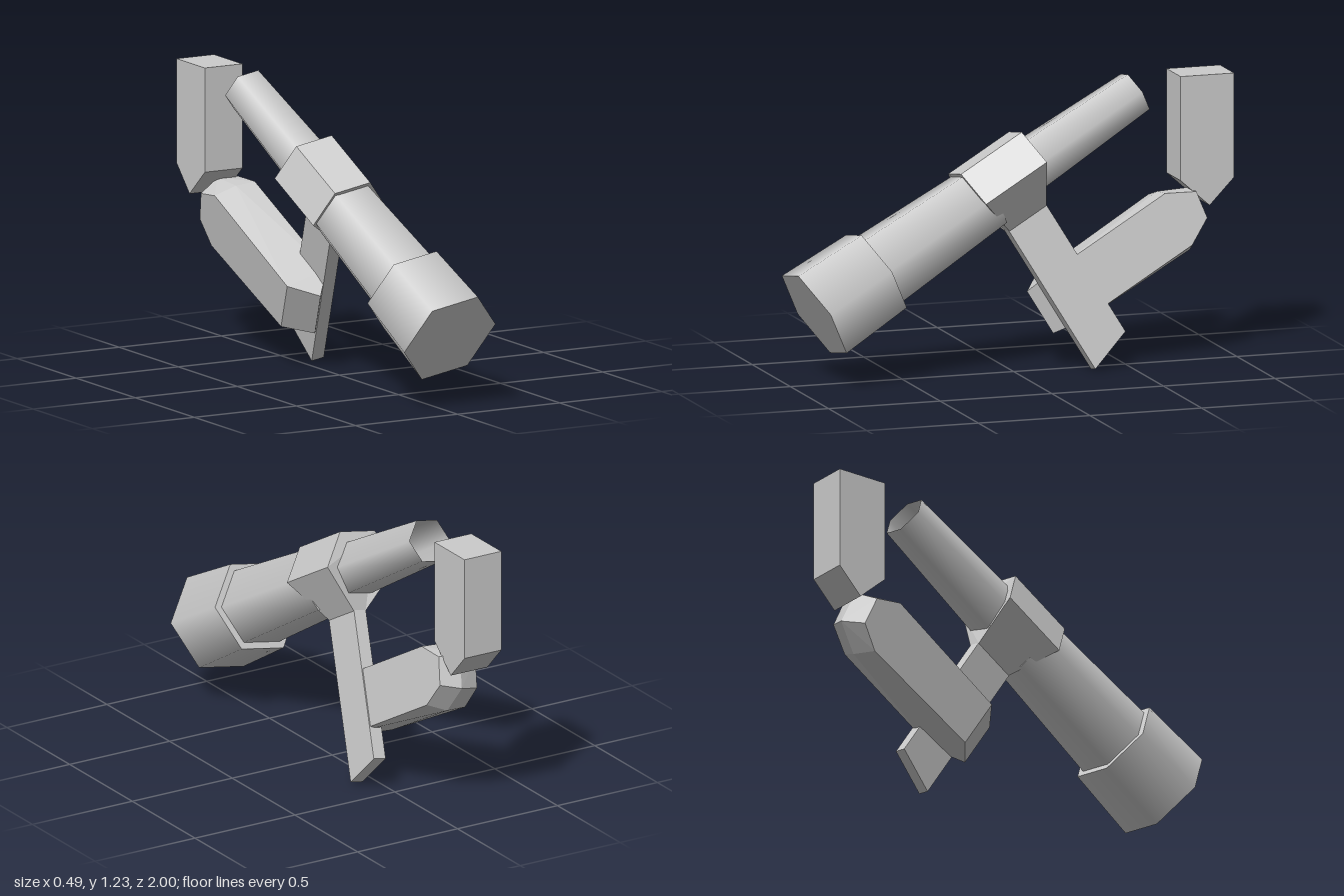
import * as THREE from 'three';
import { ConvexGeometry } from 'three/addons/geometries/ConvexGeometry.js';

const material = new THREE.MeshStandardMaterial({ color: 0xcccccc });
const openMaterial = new THREE.MeshStandardMaterial({ color: 0xcccccc, side: THREE.DoubleSide });

function addMesh(parent, name, geometry, mat = material) {
  const mesh = new THREE.Mesh(geometry, mat);
  mesh.name = name;
  parent.add(mesh);
  return mesh;
}

// Six-sided tube section along z, from zFront to zBack, with corners on the x axis
function hexTube(rFront, rBack, zFront, zBack, open = false) {
  const g = new THREE.CylinderGeometry(rFront, rBack, zFront - zBack, 6, 1, open, Math.PI / 2);
  return g.rotateX(Math.PI / 2).translate(0, 0, (zFront + zBack) / 2);
}

// Extrude a list of [x, y] corners, centred on z
function prism(points, depth) {
  const shape = new THREE.Shape(points.map(([x, y]) => new THREE.Vector2(x, y)));
  return new THREE.ExtrudeGeometry(shape, { depth, bevelEnabled: false }).translate(0, 0, -depth / 2);
}

function moveVertices(geometry, rule) {
  const p = geometry.attributes.position;
  const v = new THREE.Vector3();
  for (let i = 0; i < p.count; i++) {
    rule(v.fromBufferAttribute(p, i));
    p.setXYZ(i, v.x, v.y, v.z);
  }
  geometry.computeVertexNormals();
  return geometry;
}

export function createModel() {
  const model = new THREE.Group();
  model.name = 'spyglassAndArm';

  // Tilted frame: z runs along the tube toward its wide end, origin inside the collar
  const spyglass = new THREE.Group();
  spyglass.name = 'spyglass';
  spyglass.position.set(-0.063, 0.821, 0.023);
  spyglass.lookAt(0.02, 0.325, 0.9);
  spyglass.rotateZ(0.205);
  model.add(spyglass);

  // Telescoping tube
  addMesh(spyglass, 'frontCap', hexTube(0.226, 0.212, 1.011, 0.679));
  addMesh(spyglass, 'mainTube', hexTube(0.18, 0.155, 0.69, 0.1));
  addMesh(spyglass, 'eyepieceTube', hexTube(0.124, 0.102, -0.1, -0.701, true), openMaterial);

  // Collar, drawn in toward the handle at its lower edge
  const collar = prism([
    [0.175, 0], [0.0875, 0.152], [-0.0875, 0.152],
    [-0.175, 0], [-0.03, -0.18], [0.03, -0.18],
  ], 0.324);
  addMesh(spyglass, 'collar', moveVertices(collar, (v) => { if (v.y < -0.1) v.z *= 0.61; }));

  // Flat handle with a slanted lower end
  const handle = new THREE.BoxGeometry(0.06, 0.675, 0.2).translate(0, -0.5125, 0);
  addMesh(spyglass, 'handle', moveVertices(handle, (v) => {
    if (v.y < -0.8) v.y -= Math.sign(v.z) * 0.03;
  }));

  // Hand: convex block from side profiles [z, y] at three x positions
  const slices = [
    [0.025, [[0.03, -0.43], [0.03, -0.68], [-0.55, -0.68], [-0.67, -0.62], [-0.69, -0.5], [-0.57, -0.43]]],
    [-0.07, [[0.147, -0.455], [0.147, -0.668], [-0.557, -0.708], [-0.69, -0.64], [-0.71, -0.49], [-0.57, -0.42]]],
    [-0.18, [[0.05, -0.44], [0.05, -0.67], [-0.53, -0.69], [-0.64, -0.63], [-0.66, -0.5], [-0.56, -0.43]]],
  ];
  const corners = slices.flatMap(([x, pts]) => pts.map(([z, y]) => new THREE.Vector3(x, y, z)));
  addMesh(spyglass, 'hand', new ConvexGeometry(corners));

  // Upright forearm with a wedge-shaped wrist, profile [-z, y] swept across x
  const forearm = prism([
    [0.76, 1.235], [0.76, 0.785], [0.89, 0.67], [1, 0.785], [1, 1.235],
  ], 0.184).rotateY(Math.PI / 2);
  addMesh(model, 'forearm', forearm).position.x = -0.127;

  return model;
}
